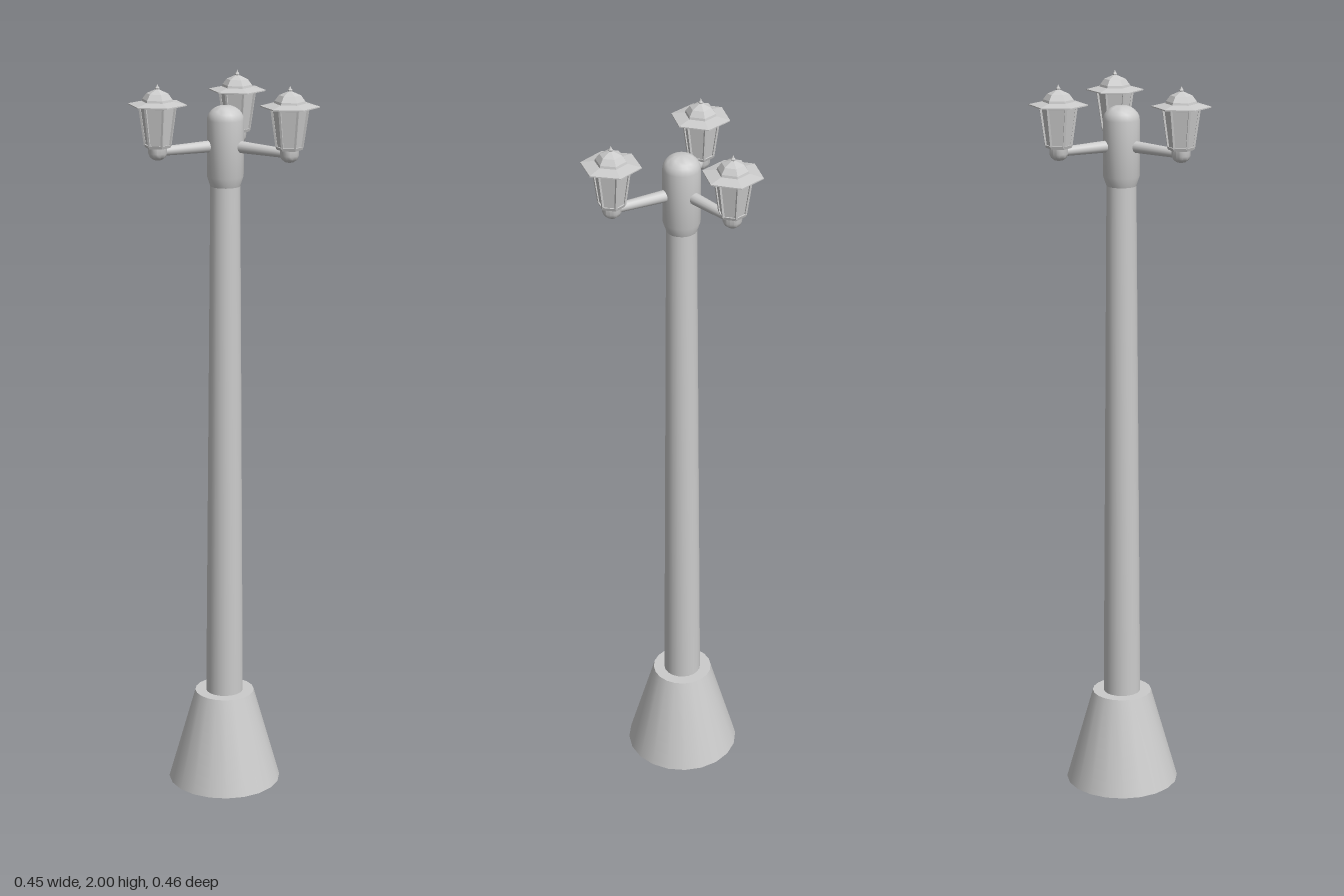
import * as THREE from 'three';
import { toCreasedNormals } from 'three/addons/utils/BufferGeometryUtils.js';

const smooth = new THREE.MeshStandardMaterial({ color: 0xcccccc, side: THREE.DoubleSide });
const faceted = new THREE.MeshStandardMaterial({ color: 0xcccccc, flatShading: true, side: THREE.DoubleSide });

// Turned part from [radius, height] points, listed bottom to top
function turned(name, points, sides, material = smooth) {
  const profile = points.map(([r, y]) => new THREE.Vector2(r, y));
  const geometry = toCreasedNormals(new THREE.LatheGeometry(profile, sides), 0.6);
  const mesh = new THREE.Mesh(geometry, material);
  mesh.name = name;
  return mesh;
}

// Tapered round bar between two points
function bar(name, from, to, r0, r1, sides, material) {
  const along = to.clone().sub(from);
  const mesh = new THREE.Mesh(new THREE.CylinderGeometry(r1, r0, along.length(), sides), material);
  mesh.name = name;
  mesh.position.copy(from).addScaledVector(along, 0.5);
  mesh.quaternion.setFromUnitVectors(new THREE.Vector3(0, 1, 0), along.normalize());
  return mesh;
}

// Six-sided lantern; heights are measured from the ground
function lantern() {
  const group = new THREE.Group();
  group.name = 'lantern';
  group.add(
    turned('lanternKnob', [[0, 1.798], [0.012, 1.801], [0.021, 1.808], [0.025, 1.818], [0.025, 1.836], [0, 1.836]], 16),
    turned('bottomRim', [[0, 1.833], [0.034, 1.833], [0.037, 1.841], [0, 1.841]], 6, faceted),
    turned('glass', [[0, 1.838], [0.032, 1.838], [0.046, 1.946], [0, 1.946]], 6, faceted),
    turned('topRim', [[0.044, 1.938], [0.05, 1.938], [0.052, 1.947], [0.044, 1.947]], 6, faceted),
    turned('brim', [[0, 1.946], [0.078, 1.944], [0.078, 1.947], [0.042, 1.954], [0, 1.954]], 6, faceted),
    turned('roof', [[0.042, 1.953], [0.04, 1.96], [0.029, 1.975], [0.006, 1.985], [0, 1.985]], 6, faceted),
    turned('finial', [[0.005, 1.983], [0.006, 1.989], [0.003, 1.993], [0, 2]], 6, faceted)
  );
  // Corner posts of the glass frame
  for (let i = 0; i < 6; i++) {
    const a = (i * Math.PI) / 3;
    const corner = (r, y) => new THREE.Vector3(r * Math.sin(a), y, r * Math.cos(a));
    group.add(bar('cornerPost', corner(0.033, 1.838), corner(0.048, 1.944), 0.004, 0.004, 4, faceted));
  }
  return group;
}

export function createModel() {
  const model = new THREE.Group();
  model.name = 'streetLamp';
  const axisX = 0.031;

  // Base, pole and domed head on one axis
  const column = new THREE.Group();
  column.name = 'column';
  column.position.set(axisX, 0, 0.002);
  column.add(
    turned('base', [[0, 0], [0.158, 0], [0.083, 0.267], [0, 0.267]], 20),
    turned('pole', [[0.052, 0.26], [0.04, 1.73]], 20)
  );
  const head = [[0.04, 1.718], [0.049, 1.745], [0.049, 1.895]];
  for (let i = 1; i <= 5; i++) {
    const a = (i / 5) * 1.2;
    head.push([0.049 * Math.cos(a), 1.895 + 0.039 * Math.sin(a)]);
  }
  head.push([0, 1.932]);
  column.add(turned('poleHead', head, 20));
  model.add(column);

  // Three arms, each carrying a lantern: x, z, turn
  for (const [x, z, turn] of [[-0.158, 0.002, 0], [0.123, -0.154, 0], [0.154, 0.15, 0.08]]) {
    const lamp = lantern();
    lamp.position.set(x, 0, z);
    lamp.rotation.y = turn;
    const start = new THREE.Vector3(axisX, 1.828, 0.002);
    model.add(lamp, bar('arm', start, new THREE.Vector3(x, 1.822, z), 0.017, 0.012, 16, smooth));
  }
  return model;
}
